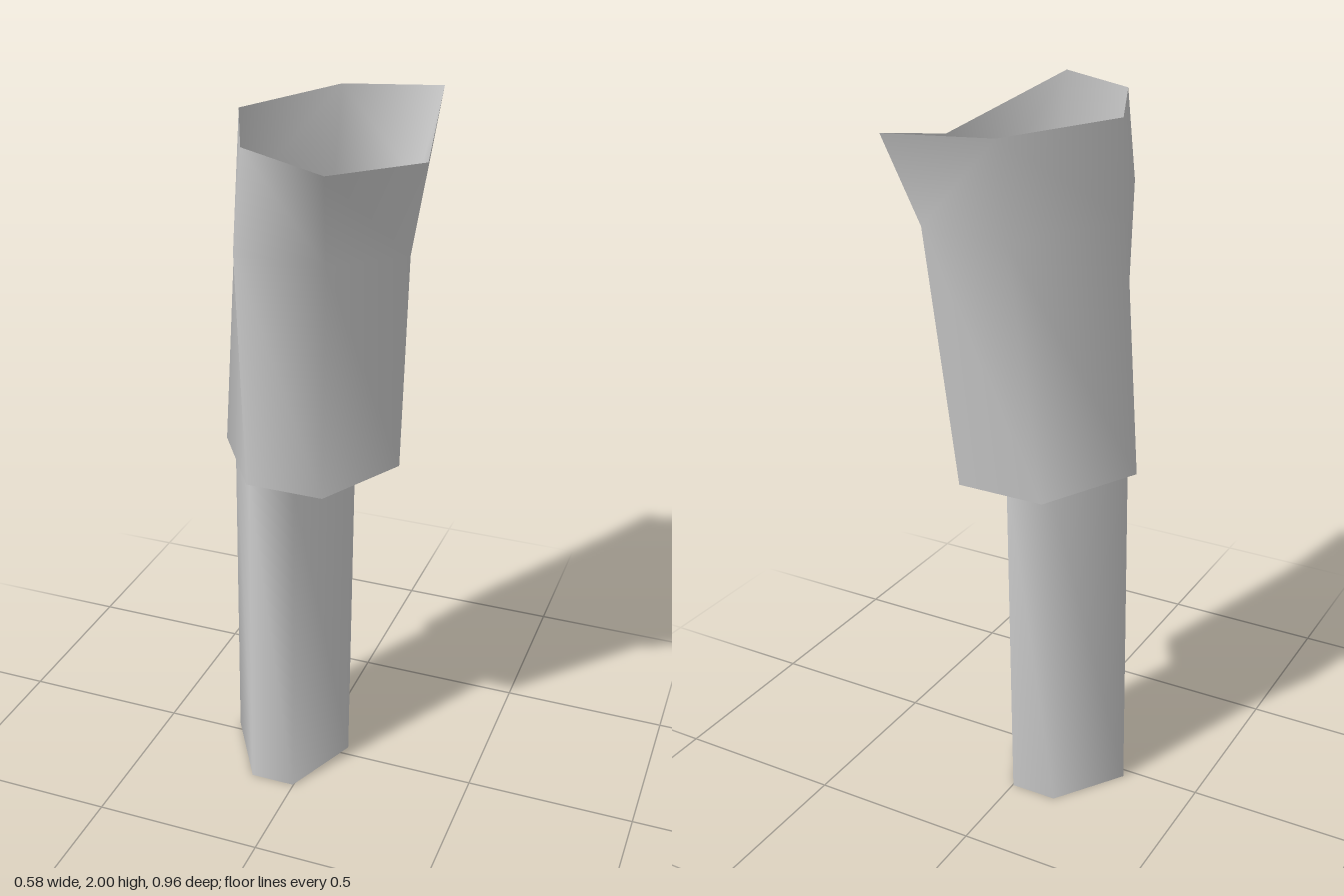
import * as THREE from 'three';

// Bands of quads between successive six-point rings; flips choose the diagonal of chosen quads
function loft(rings, material, name, flips = []) {
  const n = rings[0].length;
  const index = [];
  for (let r = 0; r < rings.length - 1; r++) {
    for (let i = 0; i < n; i++) {
      const j = (i + 1) % n;
      const a = r * n + i, b = r * n + j, c = a + n, d = b + n;
      if (flips.includes(`${r}:${i}`)) index.push(a, c, b, b, c, d);
      else index.push(a, d, b, a, c, d);
    }
  }
  const geometry = new THREE.BufferGeometry();
  geometry.setAttribute('position', new THREE.Float32BufferAttribute(rings.flat(2), 3));
  geometry.setIndex(index);
  geometry.computeVertexNormals();
  const mesh = new THREE.Mesh(geometry, material);
  mesh.name = name;
  return mesh;
}

export function createModel() {
  const grey = new THREE.MeshStandardMaterial({ color: 0xcccccc, side: THREE.DoubleSide });
  grey.name = 'plain grey';

  // Ring order: left tip, back left, back right, right tip, front right, front left
  const tubeSection = [[-0.265, -0.03], [-0.13, -0.228], [0.008, -0.228], [0.105, -0.033], [0.008, 0.2], [-0.125, 0.2]];
  const tubeBottom = tubeSection.map(([x, z]) => [x - 0.01, 0, z]);
  const tubeTop = tubeSection.map(([x, z]) => [x, 1.025, z]);

  const sleeveBase = [[-0.295, -0.035], [-0.155, -0.325], [0.1, -0.325], [0.235, -0.04], [0.1, 0.222], [-0.125, 0.218]]
    .map(([x, z]) => [x, 1.025, z]);
  const shoulder = [
    [-0.25, 1.74, -0.038], [-0.09, 1.74, -0.38], [0.16, 1.75, -0.375],
    [0.25, 1.65, -0.04], [0.16, 1.74, 0.36], [-0.09, 1.74, 0.345],
  ];
  const rim = [
    [-0.235, 2, -0.04], [-0.075, 2, -0.4], [0.2, 2, -0.48],
    [0.29, 1.905, -0.04], [0.2, 2, 0.48], [-0.075, 2, 0.32],
  ];

  const group = new THREE.Group();
  group.name = 'flared pipe';
  group.add(
    loft([tubeBottom, tubeTop], grey, 'lowerTube'),
    loft([tubeTop, sleeveBase], grey, 'stepRing'),
    // Creases run from the left rim corners down to the flared shoulder corners
    loft([sleeveBase, shoulder, rim], grey, 'flaredSleeve', ['1:1', '1:2']),
  );

  // Turn the open walls so their fronts face outward
  group.traverse((part) => {
    if (!part.isMesh) return;
    const { geometry } = part;
    const idx = geometry.index.array;
    for (let k = 0; k < idx.length; k += 3) [idx[k + 1], idx[k + 2]] = [idx[k + 2], idx[k + 1]];
    if (part.name === 'stepRing') {
      for (let k = 0; k < idx.length; k += 3) [idx[k + 1], idx[k + 2]] = [idx[k + 2], idx[k + 1]];
    }
    geometry.computeVertexNormals();
  });
  return group;
}
